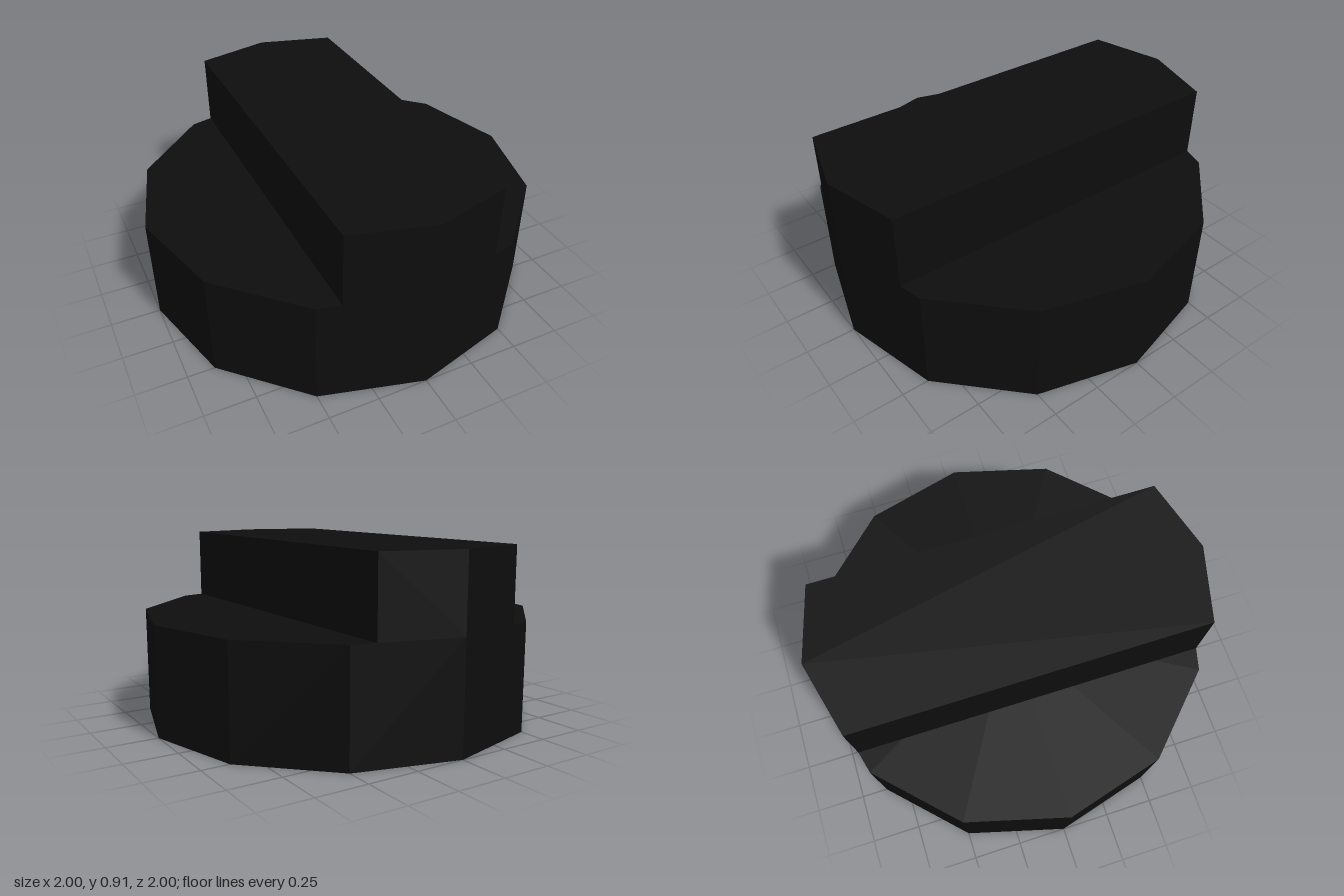
import * as THREE from 'three';

const BASE_HEIGHT = 0.54;
const TOTAL_HEIGHT = 0.91;
const RIDGE_HALF_WIDTH = 0.387;

export function createModel() {
  const group = new THREE.Group();
  group.name = 'ridgedKnob';
  const black = new THREE.MeshStandardMaterial({ color: 0x0d0d0d, flatShading: true });
  black.name = 'black';

  // Twelve-sided base with corners on the x and z axes
  const base = new THREE.Mesh(new THREE.CylinderGeometry(1, 1, BASE_HEIGHT, 12), black);
  base.name = 'base';
  base.position.y = BASE_HEIGHT / 2;
  group.add(base);

  // Grip ridge: a straight strip whose pointed ends follow the base outline
  const w = RIDGE_HALF_WIDTH;
  const end = 1 - w * Math.tan(Math.PI / 12);
  const outline = new THREE.Shape([
    [w, -end], [w, end], [0, 1], [-w, end], [-w, -end], [0, -1],
  ].map(([x, y]) => new THREE.Vector2(x, y)));
  const ridgeGeometry = new THREE.ExtrudeGeometry(outline, {
    depth: TOTAL_HEIGHT - BASE_HEIGHT, bevelEnabled: false,
  });
  ridgeGeometry.rotateX(-Math.PI / 2);
  const ridge = new THREE.Mesh(ridgeGeometry, black);
  ridge.name = 'gripRidge';
  ridge.position.y = BASE_HEIGHT;
  group.add(ridge);

  return group;
}
